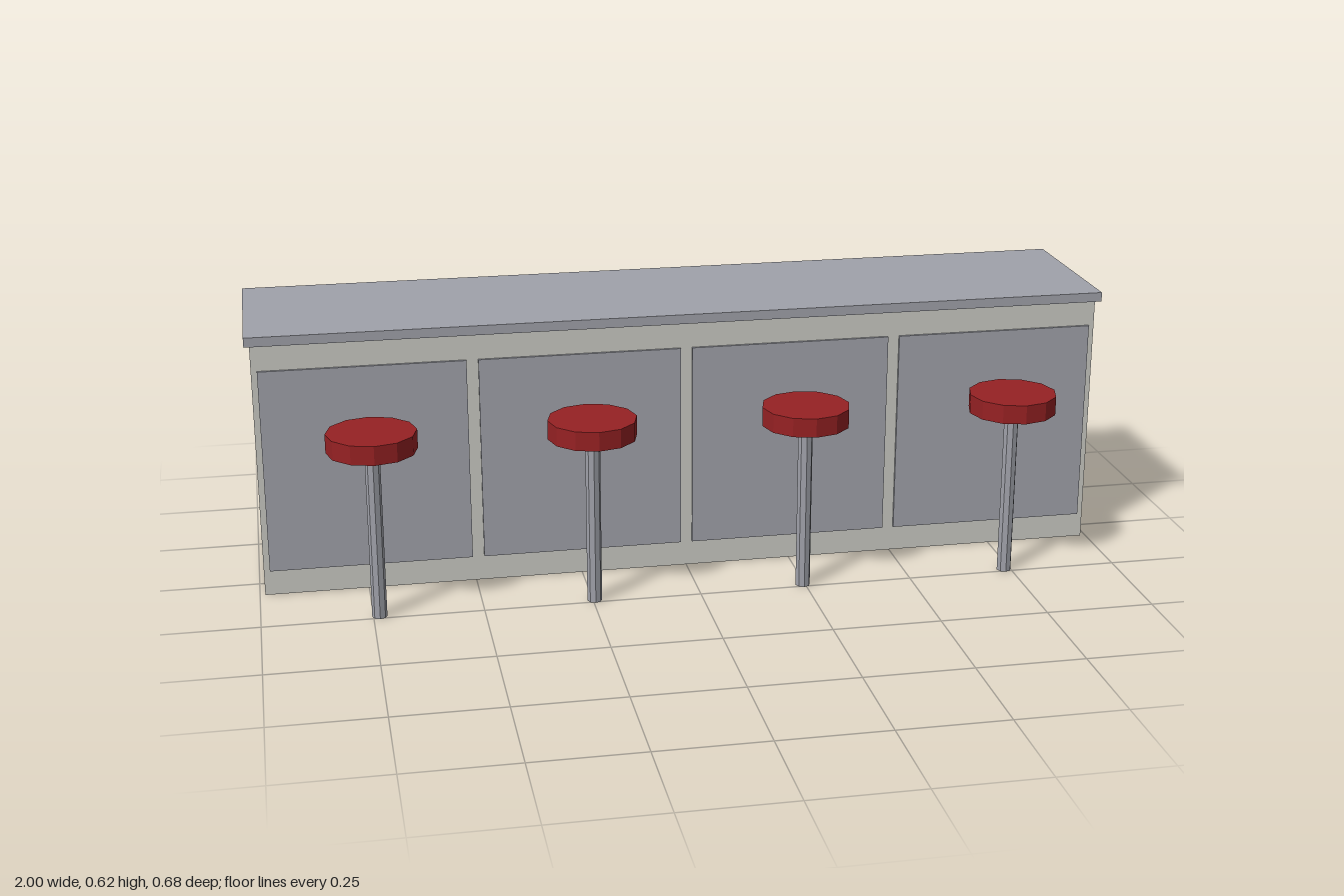
import * as THREE from 'three';

function material(name, color) {
  const m = new THREE.MeshStandardMaterial({ color });
  m.name = name;
  m.flatShading = true;
  return m;
}

export function createModel() {
  const model = new THREE.Group();
  model.name = 'barCounterWithStools';
  const cream = material('cream', 0xc9c9c3);
  const grey = material('steelGrey', 0xa0a2aa);
  const red = material('seatRed', 0x962123);

  function add(parent, name, geometry, mat, x, y, z) {
    const mesh = new THREE.Mesh(geometry, mat);
    mesh.name = name;
    mesh.position.set(x, y, z);
    parent.add(mesh);
  }

  // Counter body and overhanging worktop
  add(model, 'counterBody', new THREE.BoxGeometry(1.976, 0.6, 0.395), cream, 0, 0.3, -0.129);
  add(model, 'worktop', new THREE.BoxGeometry(2, 0.022, 0.417), grey, 0, 0.611, -0.129);

  // Front panels, each with a stool before it
  const panel = new THREE.BoxGeometry(0.467, 0.48, 0.006);
  const post = new THREE.CylinderGeometry(0.017, 0.017, 0.398, 8);
  const seat = new THREE.CylinderGeometry(0.101, 0.101, 0.044, 12);
  for (let i = 0; i < 4; i++) {
    add(model, 'frontPanel', panel, grey, (i - 1.5) * 0.494, 0.3, 0.0715);

    const stool = new THREE.Group();
    stool.name = 'stool';
    stool.position.set((i - 1.5) * 0.49 - 0.001, 0, 0.238);
    add(stool, 'post', post, grey, 0, 0.199, 0);
    add(stool, 'seat', seat, red, 0, 0.419, 0);
    model.add(stool);
  }
  return model;
}
